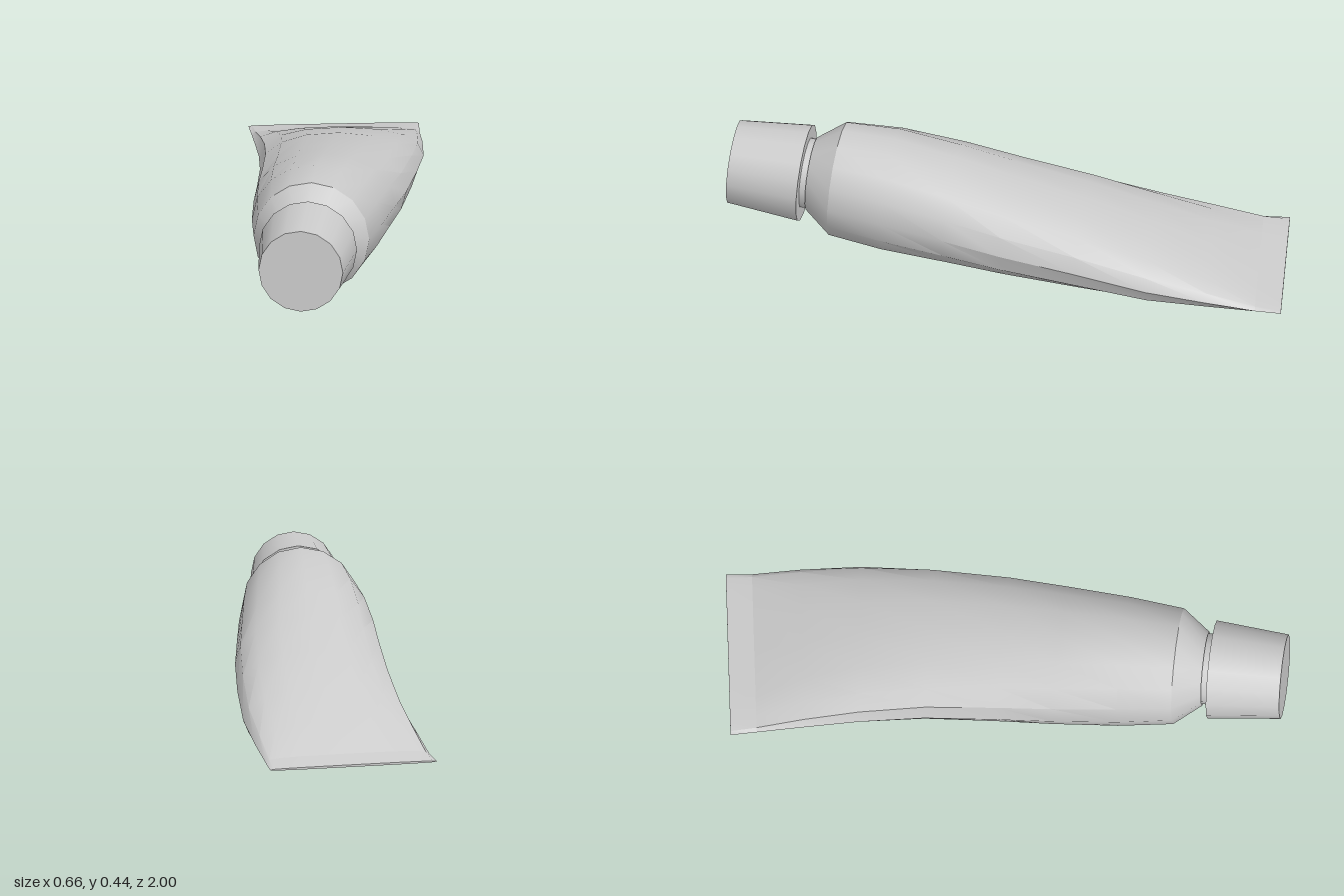
import * as THREE from 'three';
import { toCreasedNormals } from 'three/addons/utils/BufferGeometryUtils.js';

const SIDES = 16;
const TILT = 0.05; // slight upward lean of the cap end

// One closed ring: centre x/z, half width, bottom and top height,
// yaw (z shear across x), lean (z shear over y), power (1 = ellipse, less = boxier)
function ring({ z, x, w, lo, hi, yaw = 0, lean = 0, power = 1 }) {
  const y = (lo + hi) / 2, h = (hi - lo) / 2, points = [];
  const bulge = (v) => Math.sign(v) * Math.pow(Math.abs(v) < 1e-9 ? 0 : Math.abs(v), power);
  for (let i = 0; i < SIDES; i++) {
    const a = (i / SIDES) * Math.PI * 2;
    const dx = w * bulge(Math.cos(a)), dy = h * bulge(Math.sin(a));
    points.push(new THREE.Vector3(x + dx, y + dy, z - yaw * dx - lean * dy));
  }
  return points;
}

// Skin a list of rings running from front to back, optionally closing the back
function loft(sections, closeBack) {
  const rings = sections.map(ring);
  const pos = rings.flat().flatMap((p) => p.toArray());
  const index = [];
  for (let s = 0; s < rings.length - 1; s++) {
    for (let i = 0; i < SIDES; i++) {
      const j = (i + 1) % SIDES;
      const a = s * SIDES + i, b = s * SIDES + j, c = a + SIDES, d = b + SIDES;
      index.push(a, c, b, b, c, d);
    }
  }
  if (closeBack) {
    const base = (rings.length - 1) * SIDES;
    for (let i = 1; i < SIDES - 1; i++) index.push(base, base + i + 1, base + i);
  }
  const geo = new THREE.BufferGeometry();
  geo.setAttribute('position', new THREE.Float32BufferAttribute(pos, 3));
  geo.setIndex(index);
  return toCreasedNormals(geo, 0.5);
}

export function createModel() {
  const group = new THREE.Group();
  const material = new THREE.MeshStandardMaterial({ color: 0xcccccc, side: THREE.DoubleSide });
  const add = (name, geo) => {
    const mesh = new THREE.Mesh(geo, material);
    mesh.name = name;
    group.add(mesh);
    return mesh;
  };

  // Conical shoulder between neck and body
  const bodyFront = { z: 0.62, x: 0.045, w: 0.203, lo: 0.04, hi: 0.445, lean: TILT };
  add('shoulder', loft([
    { z: 0.715, x: 0.045, w: 0.13, lo: 0.12, hi: 0.38, lean: TILT },
    bodyFront,
  ]));

  // Squeezed body: round at the front, flattening and bending toward the seam
  const seam = { z: -0.865, x: -0.02, w: 0.29, lo: 0.03, hi: 0.064, yaw: 0.153, power: 0.6 };
  add('body', loft([
    bodyFront,
    { z: 0.43, x: 0.045, w: 0.228, lo: 0.015, hi: 0.438, lean: 0.04 },
    { z: 0.2, x: 0.048, w: 0.248, lo: 0.014, hi: 0.394, power: 0.97 },
    { z: 0, x: 0.054, w: 0.262, lo: 0.012, hi: 0.348, yaw: 0.03, power: 0.95 },
    { z: -0.26, x: 0.052, w: 0.274, lo: 0.008, hi: 0.29, yaw: 0.07, power: 0.92 },
    { z: -0.5, x: 0.037, w: 0.286, lo: 0, hi: 0.215, yaw: 0.11, power: 0.9 },
    { z: -0.7, x: 0.008, w: 0.29, lo: 0.014, hi: 0.138, yaw: 0.14, power: 0.85 },
    seam,
  ]));

  // Flat crimped strip closing the tube
  add('crimp', loft([
    seam,
    { z: -0.955, x: -0.035, w: 0.295, lo: 0.038, hi: 0.046, yaw: 0.153, power: 0.6 },
  ], true));

  // Neck and tapered screw cap share the tilted axis
  const turned = (name, rFront, rBack, length, y, z) => {
    const geo = new THREE.CylinderGeometry(rFront, rBack, length, SIDES);
    geo.rotateX(Math.PI / 2 - TILT);
    add(name, geo).position.set(0.045, y, z);
  };
  turned('neck', 0.124, 0.124, 0.07, 0.25, 0.72);
  turned('cap', 0.148, 0.172, 0.255, 0.256, 0.865);

  return group;
}
